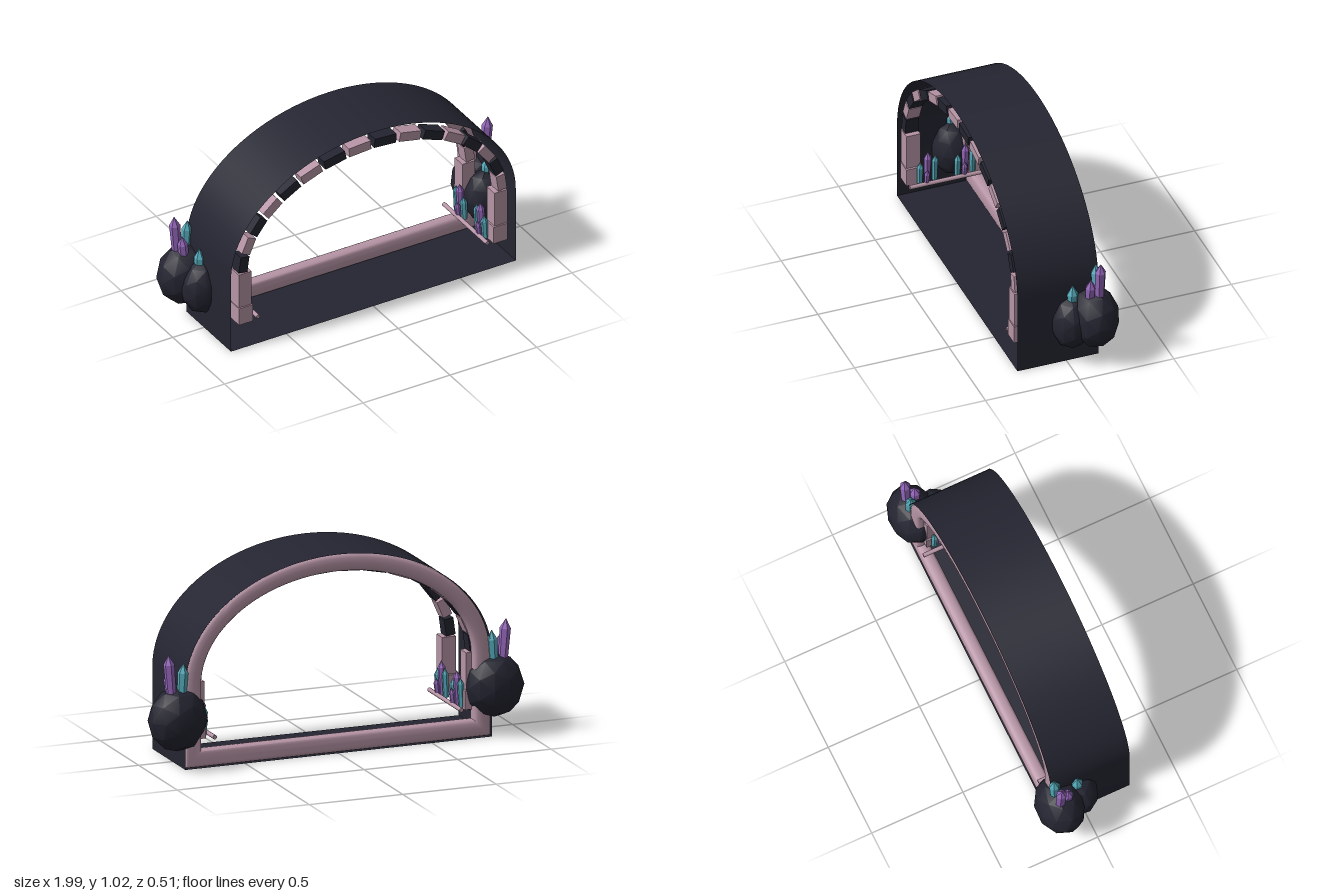
import * as THREE from 'three';
import { mergeVertices, toCreasedNormals } from 'three/addons/utils/BufferGeometryUtils.js';

const material = (name, color, side = THREE.FrontSide) => {
  const m = new THREE.MeshStandardMaterial({ color, side });
  m.name = name;
  return m;
};

// Tunnel outline, inset by d: flat floor, straight walls and a half-elliptical roof
function outline(d) {
  const pts = [[-0.82 + d, d], [0.82 - d, d]];
  const n = 48;
  for (let i = 0; i <= n; i++) {
    const t = (i / n) * Math.PI;
    pts.push([(0.82 - d) * Math.cos(t), 0.42 + (0.6 - d) * Math.sin(t)]);
  }
  return pts;
}

// Carry a cross-section of [inset, z] points around the tunnel outline
function sweep(section, closed) {
  const pos = [], index = [];
  const n = outline(0).length;
  for (const [d, z] of section) for (const [x, y] of outline(d)) pos.push(x, y, z);
  const rings = closed ? section.length : section.length - 1;
  for (let i = 0; i < rings; i++) {
    const k = (i + 1) % section.length;
    for (let j = 0; j < n; j++) {
      const m = (j + 1) % n;
      const a = i * n + j, b = i * n + m, c = k * n + m, e = k * n + j;
      index.push(a, e, b, b, e, c);
    }
  }
  const g = new THREE.BufferGeometry();
  g.setAttribute('position', new THREE.Float32BufferAttribute(pos, 3));
  g.setIndex(index);
  return toCreasedNormals(g, 0.8);
}

export function createModel() {
  const model = new THREE.Group();
  model.name = 'crystalTunnel';

  const shellDark = material('shell dark', 0x242531, THREE.DoubleSide);
  const stoneDark = material('stone dark', 0x232430);
  const pink = material('dusty pink', 0xb795a6);
  const purple = material('crystal purple', 0x9467ba);
  const teal = material('crystal teal', 0x54a8b8);

  const add = (parent, name, geometry, mat, x = 0, y = 0, z = 0) => {
    const mesh = new THREE.Mesh(geometry, mat);
    mesh.name = name;
    mesh.position.set(x, y, z);
    parent.add(mesh);
    return mesh;
  };

  // Thin outer shell with floor
  add(model, 'tunnelShell', sweep([[0, 0.26], [0, -0.17]], false), shellDark);

  // Rounded frame at the back opening
  const section = [];
  for (let i = 0; i < 16; i++) {
    const t = (i / 16) * Math.PI * 2;
    const soft = (v) => Math.sign(v) * Math.pow(Math.abs(v), 0.6);
    section.push([0.047 - 0.045 * soft(Math.cos(t)), -0.133 - 0.036 * soft(Math.sin(t))]);
  }
  add(model, 'backFrame', sweep(section, true), pink);

  // Two rows of alternating arch bricks
  const count = 16, step = Math.PI / count, rx = 0.745, ry = 0.515;
  for (const [row, rowZ] of [['front', 0.22], ['back', -0.09]]) {
    const arch = new THREE.Group();
    arch.name = row + 'BrickArch';
    model.add(arch);
    for (let i = 0; i < count; i++) {
      const t = (i + 0.5) * step;
      const tx = -rx * Math.sin(t), ty = ry * Math.cos(t);
      const length = Math.hypot(tx, ty) * step * 0.86;
      const brick = add(arch, 'archBrick', new THREE.BoxGeometry(length, 0.05, 0.07),
        i % 2 ? stoneDark : pink, rx * Math.cos(t), 0.43 + ry * Math.sin(t), rowZ);
      brick.rotation.z = Math.atan2(ty, tx);
    }
    // Stacked blocks carrying each end of the arch
    for (const s of [-1, 1]) {
      add(arch, 'postUpper', new THREE.BoxGeometry(0.074, 0.192, 0.074), pink, s * 0.736, 0.335, rowZ);
      add(arch, 'postLower', new THREE.BoxGeometry(0.08, 0.096, 0.08), pink, s * 0.733, 0.187, rowZ);
    }
  }

  // Six-sided crystal with a pointed tip, standing on its base
  const crystalGeometry = (r, h) => {
    const tip = Math.min(h * 0.4, r * 1.8);
    const profile = [[0, 0], [r * 0.85, 0], [r, h - tip], [0, h]].map((p) => new THREE.Vector2(...p));
    return toCreasedNormals(new THREE.LatheGeometry(profile, 6), 0.1);
  };
  const crystal = (parent, mat, x, y, z, r, h, lean = 0) => {
    const c = add(parent, 'crystal', crystalGeometry(r, h), mat, x, y, z);
    c.rotation.z = -lean;
  };

  // Faceted boulder
  const boulder = (parent, name, x, y, z, sx, sy, sz, turn) => {
    const g = new THREE.IcosahedronGeometry(1, 1);
    g.deleteAttribute('normal');
    g.deleteAttribute('uv');
    g.rotateY(turn);
    g.scale(sx, sy, sz);
    add(parent, name, toCreasedNormals(mergeVertices(g), 0.5), stoneDark, x, y, z);
  };

  for (const s of [-1, 1]) {
    const sideName = s > 0 ? 'left' : 'right';

    // Boulders pushed through the wall, with crystals on top
    const rocks = new THREE.Group();
    rocks.name = sideName + 'Rocks';
    model.add(rocks);
    boulder(rocks, 'largeBoulder', s * 0.847, 0.255, -0.135, 0.153, 0.165, 0.125, 0.3 * s);
    boulder(rocks, 'smallBoulder', s * 0.815, 0.23, -0.025, 0.115, 0.148, 0.105, 0.8 * s);
    crystal(rocks, purple, s * 0.885, 0.36, -0.15, 0.028, 0.235, 0.08 * s);
    crystal(rocks, purple, s * 0.87, 0.34, -0.105, 0.027, 0.16, 0.1 * s);
    crystal(rocks, teal, s * 0.835, 0.36, -0.155, 0.027, 0.185, -0.06 * s);
    crystal(rocks, teal, s * 0.825, 0.31, -0.03, 0.029, 0.14, 0.03 * s);

    // Floor-side rail with small crystal clusters
    const rail = new THREE.Group();
    rail.name = sideName + 'Rail';
    model.add(rail);
    const rod = add(rail, 'rod', new THREE.CylinderGeometry(0.011, 0.011, 0.42, 10), pink, s * 0.66, 0.15, 0.045);
    rod.rotation.x = Math.PI / 2;
    for (const z of [0.15, -0.05]) {
      crystal(rail, purple, s * 0.69, 0.145, z, 0.02, 0.18, -0.05 * s);
      crystal(rail, teal, s * 0.685, 0.145, z + 0.042, 0.018, 0.13, -0.06 * s);
      crystal(rail, teal, s * 0.69, 0.145, z - 0.04, 0.017, 0.15, -0.04 * s);
      crystal(rail, purple, s * 0.668, 0.145, z + 0.012, 0.015, 0.09, -0.12 * s);
    }
  }

  return model;
}
